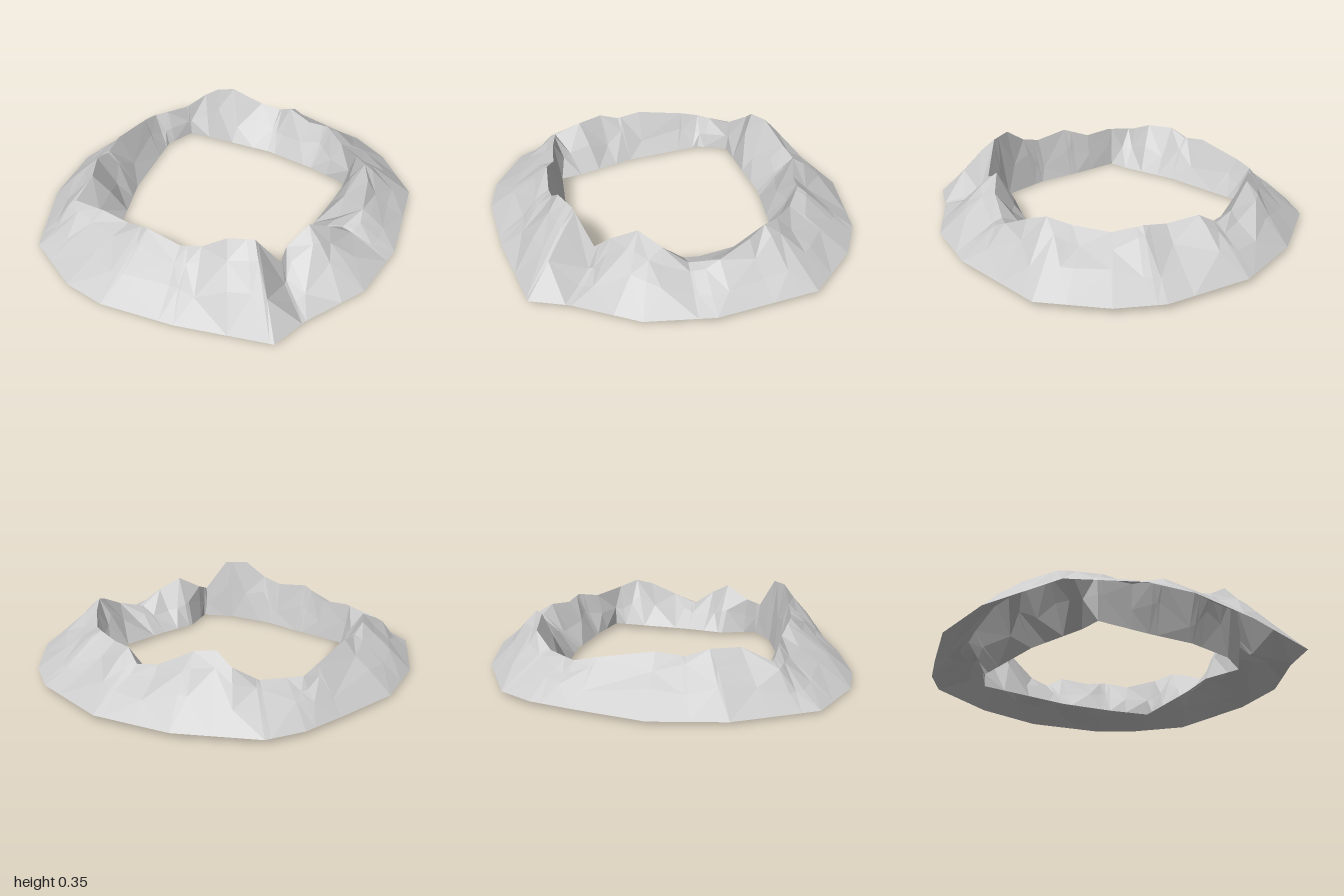
import * as THREE from 'three';

// Corners around the ring, from +x toward +z: [x, z, y]
const outerFoot = [
  [1, .06], [.93, .39], [.57, .73], [.28, .88], [-.06, .91], [-.25, .96], [-.6, .66], [-.85, .39], [-.95, .2],
  [-1, -.13], [-.8, -.5], [-.55, -.74], [-.24, -.87], [-.03, -.95], [.16, -.97], [.52, -.8], [.8, -.55], [.98, -.17],
].map(([x, z]) => [x, z, 0.022 + 0.01 * x]);

const innerFoot = [
  [.66, .17], [.27, .4], [.08, .49], [-.04, .65], [-.2, .58], [-.38, .4], [-.5, .2], [-.65, -.02],
  [-.57, -.1], [-.38, -.36], [-.06, -.66], [.11, -.7], [.43, -.31], [.57, -.05],
].map(([x, z]) => [x, z, 0.014 + 0.02 * x]);

const ridge = [
  [.69, .05, .22], [.67, .22, .25], [.64, .33, .28], [.6, .42, .25], [.5, .53, .18], [.36, .56, .14],
  [.25, .6, .22], [.13, .6, .28], [0, .62, .21], [-.06, .67, .18], [-.18, .64, .345], [-.29, .58, .35],
  [-.38, .5, .27], [-.45, .42, .24], [-.55, .27, .265], [-.6, .13, .21], [-.68, 0, .22], [-.77, -.17, .19],
  [-.65, -.25, .25], [-.58, -.38, .255], [-.5, -.45, .22], [-.4, -.54, .24], [-.18, -.7, .2], [-.1, -.75, .18],
  [.1, -.73, .18], [.22, -.72, .25], [.27, -.65, .31], [.36, -.62, .305], [.5, -.52, .22], [.58, -.44, .2],
  [.6, -.35, .25], [.64, -.2, .23], [.69, -.09, .25],
];

const TAU = Math.PI * 2;
const wrap = (a) => ((a % TAU) + TAU) % TAU;
const angleOf = ([x, z]) => wrap(Math.atan2(z, x));

// Where a ray at the given angle crosses a closed line of corners
function cross(line, angle) {
  const c = Math.cos(angle), s = Math.sin(angle);
  for (let i = 0; i < line.length; i++) {
    const p = line[i], q = line[(i + 1) % line.length];
    const span = wrap(angleOf(q) - angleOf(p));
    if (wrap(angle - angleOf(p) + 1e-7) > span + 2e-7) continue;
    const dp = p[1] * c - p[0] * s, dq = q[1] * c - q[0] * s;
    const t = THREE.MathUtils.clamp(dp / (dp - dq), 0, 1);
    return new THREE.Vector3(p[0], p[2], p[1]).lerp(new THREE.Vector3(q[0], q[2], q[1]), t);
  }
}

// One cross-section: outer foot, outer slope, crest, inner wall, inner foot
function section(angle) {
  const foot = cross(outerFoot, angle);
  const crest = cross(ridge, angle);
  const inside = cross(innerFoot, angle);
  const rough = Math.sin(angle * 11) * 0.6 + Math.sin(angle * 19 + 1) * 0.4;
  const gully = (at) => Math.max(0, 1 - Math.abs(wrap(angle - at + Math.PI) - Math.PI) / 0.1);
  const dip = 0.05 * (gully(1.64) + gully(0.56));

  const lower = foot.clone().lerp(crest, 0.42 + 0.08 * rough);
  lower.y += 0.012 * Math.sin(angle * 7) - dip * 0.6;
  const upper = foot.clone().lerp(crest, 0.78 - 0.06 * rough);
  upper.y += 0.015 * Math.sin(angle * 13 + 2) - dip;
  const wall = crest.clone().lerp(inside, 0.5 + 0.15 * rough);
  wall.y += 0.02 * Math.sin(angle * 15);
  return [foot, lower, upper, crest, wall, inside];
}

export function createModel() {
  const group = new THREE.Group();
  group.name = 'mountainRing';

  // Sections pass through every corner of the three outlines
  const angles = [...outerFoot, ...ridge, ...innerFoot].map(angleOf).sort((a, b) => a - b)
    .filter((a, i, all) => i === 0 || a - all[i - 1] > 0.004);
  const sections = angles.map(section);
  const rows = sections[0].length;
  const positions = sections.flat().flatMap((p) => [p.x, Math.max(0, p.y), p.z]);

  // Join neighbouring sections, alternating the diagonal for a rocky look
  const index = [];
  for (let i = 0; i < sections.length; i++) {
    const next = (i + 1) % sections.length;
    for (let j = 0; j < rows - 1; j++) {
      const a = i * rows + j, b = a + 1, c = next * rows + j, d = c + 1;
      if ((i + j) % 2) index.push(a, b, c, b, d, c);
      else index.push(a, b, d, a, d, c);
    }
  }
  const geometry = new THREE.BufferGeometry();
  geometry.setAttribute('position', new THREE.Float32BufferAttribute(positions, 3));
  geometry.setIndex(index);
  geometry.computeVertexNormals();

  const mountains = new THREE.Mesh(geometry, new THREE.MeshStandardMaterial({
    color: 0xcccccc, flatShading: true, side: THREE.DoubleSide,
  }));
  mountains.name = 'mountains';
  group.add(mountains);
  return group;
}
